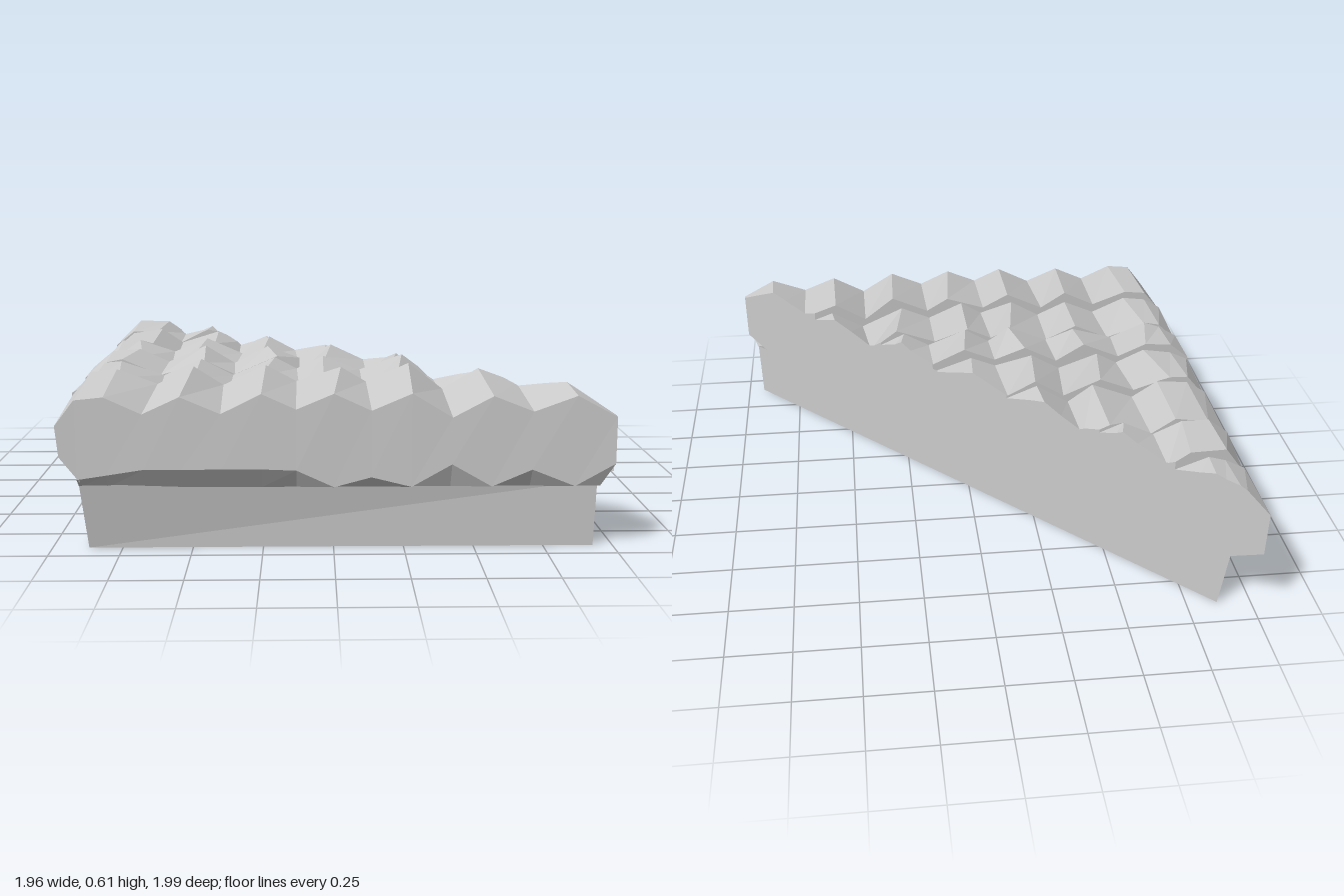
import * as THREE from 'three';

// Height of the overhang's lower edge where the diagonal cut meets it
const CUT = 0.02;
const lowerEdge = x => 0.24 + 0.8 * Math.max(0, x - 0.92, -x - 0.89);

let seed = 7;
const jitter = a => {
  seed = (seed * 16807) % 2147483647;
  return (seed / 2147483647 - 0.5) * 2 * a;
};

// Keeps the part of a convex polygon in front of the diagonal z = x - CUT
function clip(poly) {
  const out = [], cut = [];
  const side = p => p[2] - p[0] + CUT;
  poly.forEach((a, i) => {
    const b = poly[(i + 1) % poly.length], da = side(a), db = side(b);
    if (da >= 0) out.push(a);
    if ((da >= 0) !== (db >= 0)) {
      const t = da / (da - db);
      const p = a.map((v, k) => v + (b[k] - v) * t);
      out.push(p);
      cut.push(p);
    }
  });
  return { out, cut };
}

function addPolygon(tris, poly) {
  for (let i = 1; i + 1 < poly.length; i++) tris.push(...poly[0], ...poly[i], ...poly[i + 1]);
}

function makeMesh(name, tris, material) {
  const g = new THREE.BufferGeometry();
  g.setAttribute('position', new THREE.Float32BufferAttribute(tris, 3));
  g.computeVertexNormals();
  const mesh = new THREE.Mesh(g, material);
  mesh.name = name;
  return mesh;
}

export function createModel() {
  const group = new THREE.Group();
  group.name = 'triangularRoofCorner';
  const stone = new THREE.MeshStandardMaterial({ color: 0xcccccc });
  stone.name = 'pale grey';
  stone.flatShading = true;
  stone.side = THREE.DoubleSide;

  // Alternating ridges and valleys across the front: x, top y, bottom y
  const front = [
    [-0.89, 0.55, 0.27], [-0.79, 0.56, 0.285], [-0.66, 0.5, 0.305], [-0.53, 0.56, 0.305],
    [-0.39, 0.5, 0.305], [-0.25, 0.57, 0.305], [-0.13, 0.515, 0.3], [0, 0.57, 0.24],
    [0.13, 0.51, 0.275], [0.27, 0.57, 0.24], [0.41, 0.485, 0.32], [0.55, 0.56, 0.24],
    [0.69, 0.505, 0.3], [0.84, 0.56, 0.24], [0.98, 0.485, 0.32],
  ];

  // Cross-section of the tiles, starting under the left overhang
  function section(z, rise, loose) {
    const first = loose === 0;
    const rim = first
      ? [[-0.88, 0.26], [-0.95, 0.35], [-0.96, 0.46]]
      : [[-0.88, 0.235], [-0.965 + jitter(0.015), 0.31 + jitter(0.03)], [-0.972 + jitter(0.01), 0.5 + jitter(0.02)]];
    const top = front.map(([x, y], i) => {
      const move = i === 0 || i === front.length - 1 ? 0 : (i % 2 ? 0.04 : 0.015);
      return [x + jitter(move * loose), y + rise + jitter(0.008 * loose)];
    });
    return [...rim, ...top].map(([x, y]) => [x, y, z]);
  }

  const shingles = [], face = [], cutFace = [];
  const addTop = poly => {
    const { out, cut } = clip(poly);
    addPolygon(shingles, out);
    return cut;
  };

  // Rows of shingles: front z, back z, rise at the front, rise at the back
  const rows = [
    [0.98, 0.62, 0, 0.037], [0.62, 0.33, 0, 0.022], [0.33, 0.12, 0.015, 0.035],
    [0.12, -0.16, 0, 0.03], [-0.16, -0.48, 0, 0.02], [-0.48, -0.72, 0.02, 0.035],
    [-0.72, -1, 0, 0.015],
  ];
  let previous = null;
  rows.forEach(([zf, zb, rf, rb], r) => {
    const a = section(zf, rf, r ? 1 : 0), b = section(zb, rb, 1);
    for (let i = 0; i + 1 < a.length; i++) {
      // The small step down behind each row
      if (previous) addTop([previous[i], previous[i + 1], a[i + 1], a[i]]);
      // Split each tile into two facets
      [[a[i], a[i + 1], b[i + 1]], [a[i], b[i + 1], b[i]]].forEach(t => {
        const cut = addTop(t);
        if (i < 2 || cut.length < 2) return;
        const [p, q] = cut.sort((m, n) => m[0] - n[0]);
        addPolygon(cutFace, [p, q, [q[0], lowerEdge(q[0]), q[2]], [p[0], lowerEdge(p[0]), p[2]]]);
      });
    }
    if (r === 0) addPolygon(face, [a[0], a[3], a[2], a[1]]);
    previous = b;
  });

  // Front edge of the slab and its sloping underside
  for (let i = 0; i + 1 < front.length; i++) {
    const [x0, t0, b0] = front[i], [x1, t1, b1] = front[i + 1];
    const d0 = Math.min(x0, 0.94), d1 = Math.min(x1, 0.94);
    addPolygon(face, [[x0, b0, 0.985], [x1, b1, 0.985], [x1, t1, 0.98], [x0, t0, 0.98]]);
    addPolygon(face, [[d0, 0.23, 0.94], [d1, 0.23, 0.94], [x1, b1, 0.985], [x0, b0, 0.985]]);
  }
  // Narrow end face at the sharp right corner
  addPolygon(face, [[0.98, 0.32, 0.98], [0.98, 0.32, 0.96], [0.98, 0.485, 0.96], [0.98, 0.485, 0.98]]);

  // Tapered triangular base: corner, right end, back end
  const base = [];
  const low = [[-0.87, 0, 0.91], [0.93, 0, 0.91], [-0.87, 0, -0.89]];
  const high = [[-0.89, 0.245, 0.95], [0.935, 0.245, 0.95], [-0.89, 0.245, -0.91]];
  high[1][2] = 0.915;
  for (let i = 0; i < 3; i++) {
    const j = (i + 1) % 3;
    addPolygon(base, [low[i], low[j], high[j], high[i]]);
  }
  addPolygon(base, [low[0], low[2], low[1]]);

  group.add(
    makeMesh('shingleRows', shingles, stone),
    makeMesh('frontEdge', face, stone),
    makeMesh('diagonalCutFace', cutFace, stone),
    makeMesh('base', base, stone),
  );
  return group;
}
